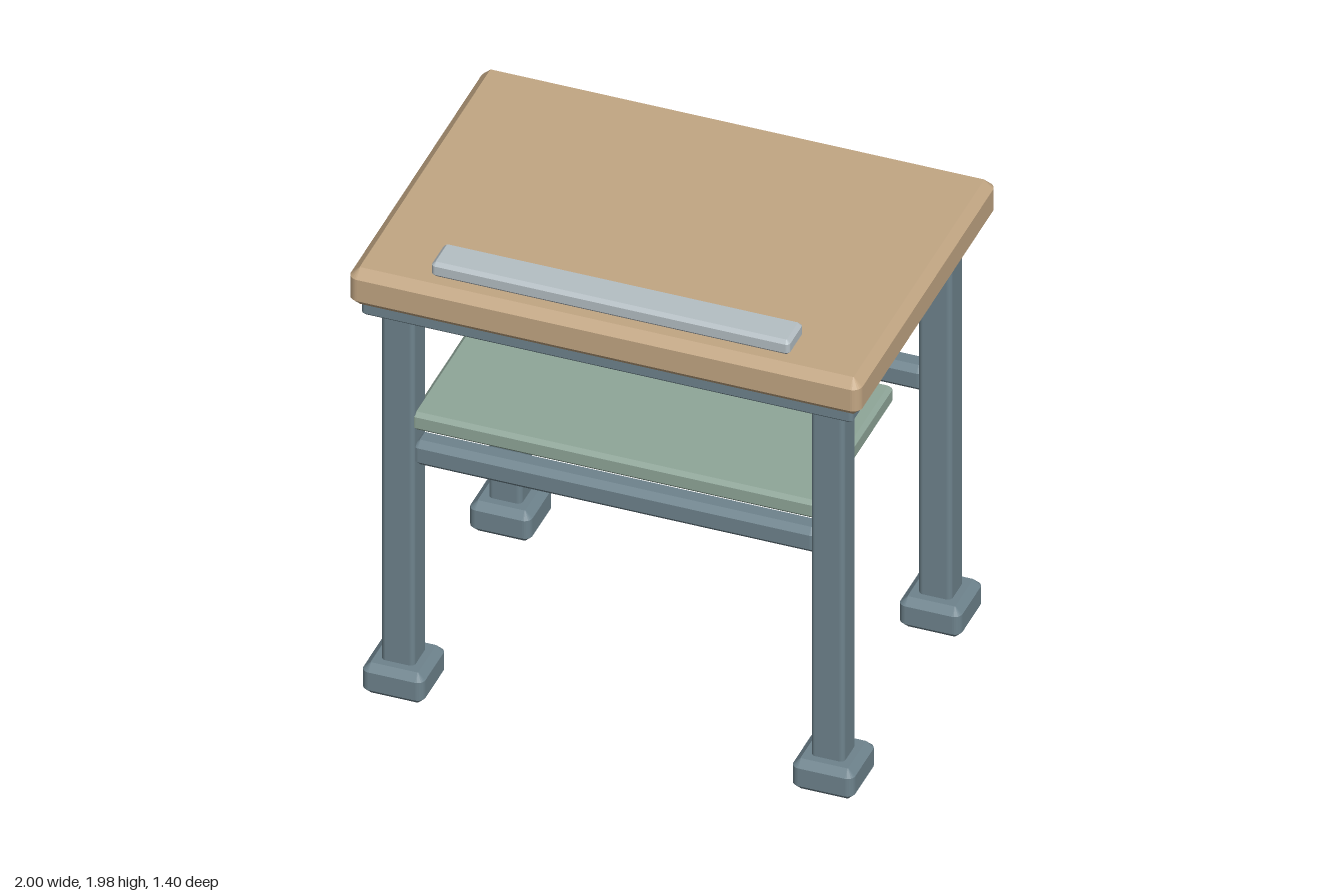
import * as THREE from 'three';

const material = (name, color) => Object.assign(new THREE.MeshStandardMaterial({ color }), { name });

// Box standing on y = 0 with chamfered top and bottom rims and softly rounded upright edges
function chamferBox(w, h, d, c) {
  const r = 0.003, x = w / 2 - c - r, z = d / 2 - c - r;
  const shape = new THREE.Shape();
  [[x, z], [-x, z], [-x, -z], [x, -z]].forEach(([cx, cz], i) => {
    shape.absarc(cx, cz, r, i * Math.PI / 2, (i + 1) * Math.PI / 2, false);
  });
  const geometry = new THREE.ExtrudeGeometry(shape, {
    depth: h - 2 * c, curveSegments: 3,
    bevelEnabled: true, bevelSegments: 1, bevelSize: c, bevelThickness: c,
  });
  return geometry.translate(0, 0, c).rotateX(-Math.PI / 2);
}

export function createModel() {
  const model = new THREE.Group();
  model.name = 'desk';
  const wood = material('tan wood', 0xc2a683);
  const steel = material('blue grey steel', 0x6e838d);
  const green = material('sage green', 0x8fa699);
  const grey = material('light grey', 0xb5bfc4);

  function add(name, mat, size, chamfer, x, y, z) {
    const mesh = new THREE.Mesh(chamferBox(...size, chamfer), mat);
    mesh.name = name;
    mesh.position.set(x, y, z);
    model.add(mesh);
  }

  // Top, its supporting frame and the pencil ledge
  add('tableTop', wood, [2, 0.165, 1.4], 0.035, 0, 1.75, 0);
  add('topFrame', steel, [1.92, 0.07, 1.33], 0.012, 0, 1.7, 0);
  add('pencilLedge', grey, [1.4, 0.065, 0.144], 0.014, 0, 1.915, 0.56);

  // Book shelf between the front legs
  add('shelf', green, [1.58, 0.08, 0.8], 0.016, 0, 1.183, 0.2);

  // Legs with feet, and a long rail joining each pair
  for (const z of [-0.545, 0.545]) {
    for (const x of [-0.84, 0.84]) {
      add('leg', steel, [0.13, 1.63, 0.126], 0.016, x, 0.09, z);
      add('foot', steel, [0.242, 0.135, 0.242], 0.028, x, 0, z);
    }
    add('rail', steel, [1.58, 0.11, 0.1], 0.024, 0, 1.02, z);
  }
  return model;
}
